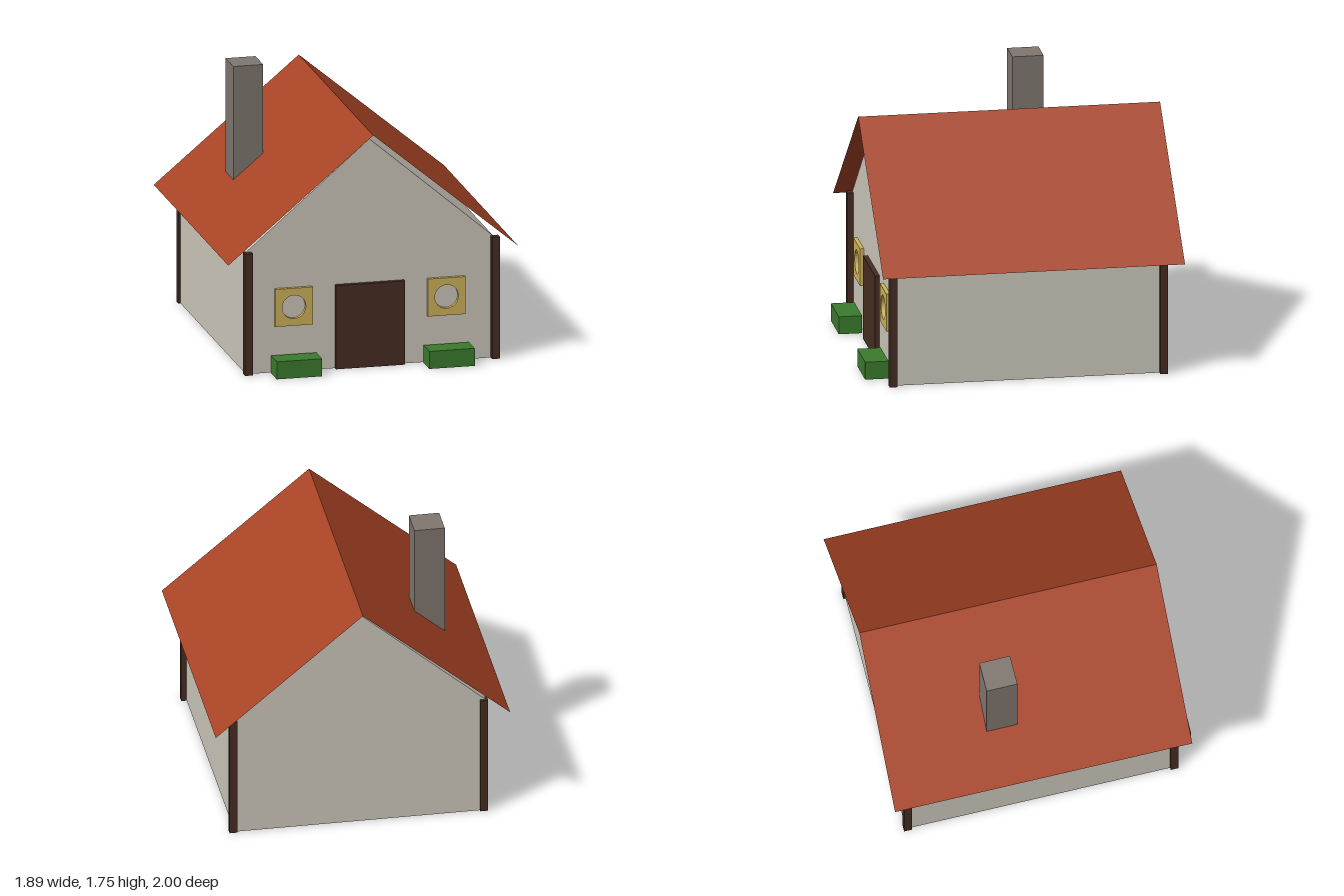
import * as THREE from 'three';

const paint = (name, color, side = THREE.FrontSide) => {
  const m = new THREE.MeshStandardMaterial({ color, side });
  m.name = name;
  return m;
};

export function createModel() {
  const house = new THREE.Group();
  house.name = 'house';

  const plaster = paint('plaster', 0xcec9bd);
  const timber = paint('darkTimber', 0x472d23);
  const tile = paint('roofTile', 0xa84325, THREE.DoubleSide);
  const stone = paint('chimneyStone', 0x80776f);
  const yellow = paint('windowYellow', 0xd0b45a);
  const green = paint('plantGreen', 0x3b7b2d);

  const add = (name, geometry, material) => {
    const mesh = new THREE.Mesh(geometry, material);
    mesh.name = name;
    house.add(mesh);
    return mesh;
  };
  // Box given by its lower and upper corners
  const box = (name, material, [x0, y0, z0], [x1, y1, z1]) => {
    const mesh = add(name, new THREE.BoxGeometry(x1 - x0, y1 - y0, z1 - z0), material);
    mesh.position.set((x0 + x1) / 2, (y0 + y1) / 2, (z0 + z1) / 2);
  };

  const wallFront = 0.835, wallBack = -0.895, wallX = 0.805, wallTop = 0.8;

  // Walls with gables, one solid prism
  const outline = new THREE.Shape([
    new THREE.Vector2(-wallX, 0), new THREE.Vector2(wallX, 0),
    new THREE.Vector2(wallX, wallTop), new THREE.Vector2(0, 1.49),
    new THREE.Vector2(-wallX, wallTop),
  ]);
  add('walls', new THREE.ExtrudeGeometry(outline, { depth: wallFront - wallBack, bevelEnabled: false }), plaster)
    .position.z = wallBack;

  // Roof: two thin sloping sheets floating just above the gables
  const ridgeY = 1.54, eaveX = 0.945, eaveY = 0.75, roofFront = 0.935, roofBack = -1;
  const slope = Math.hypot(eaveX, ridgeY - eaveY);
  const pitch = Math.atan2(ridgeY - eaveY, eaveX);
  for (const s of [-1, 1]) {
    const sheet = new THREE.PlaneGeometry(slope, roofFront - roofBack).rotateX(-Math.PI / 2);
    const roof = add(s > 0 ? 'roofLeft' : 'roofRight', sheet, tile);
    roof.rotation.z = -s * pitch;
    roof.position.set(s * eaveX / 2, (ridgeY + eaveY) / 2, (roofFront + roofBack) / 2);
  }

  // Corner posts
  for (const x of [-0.82, 0.79])
    for (const z of [0.825, -0.91])
      box('cornerPost', timber, [x, 0, z], [x + 0.05, wallTop, z + 0.05]);

  box('chimney', stone, [-0.645, 1, -0.33], [-0.45, 1.745, -0.13]);
  box('door', timber, [-0.225, 0, 0.825], [0.225, 0.55, 0.865]);

  // Square windows with round openings, and planters below
  const half = 0.123;
  const pane = new THREE.Shape([
    new THREE.Vector2(-half, -half), new THREE.Vector2(half, -half),
    new THREE.Vector2(half, half), new THREE.Vector2(-half, half),
  ]);
  pane.holes.push(new THREE.Path().absarc(0, 0, 0.077, 0, Math.PI * 2, true));
  const paneGeometry = new THREE.ExtrudeGeometry(pane, { depth: 0.025, bevelEnabled: false, curveSegments: 16 });
  for (const s of [-1, 1]) {
    add('window', paneGeometry, yellow).position.set(s * 0.497, 0.427, wallFront);
    box('planter', green, [s * 0.497 - 0.148, 0, 0.85], [s * 0.497 + 0.148, 0.115, 1]);
  }

  return house;
}
